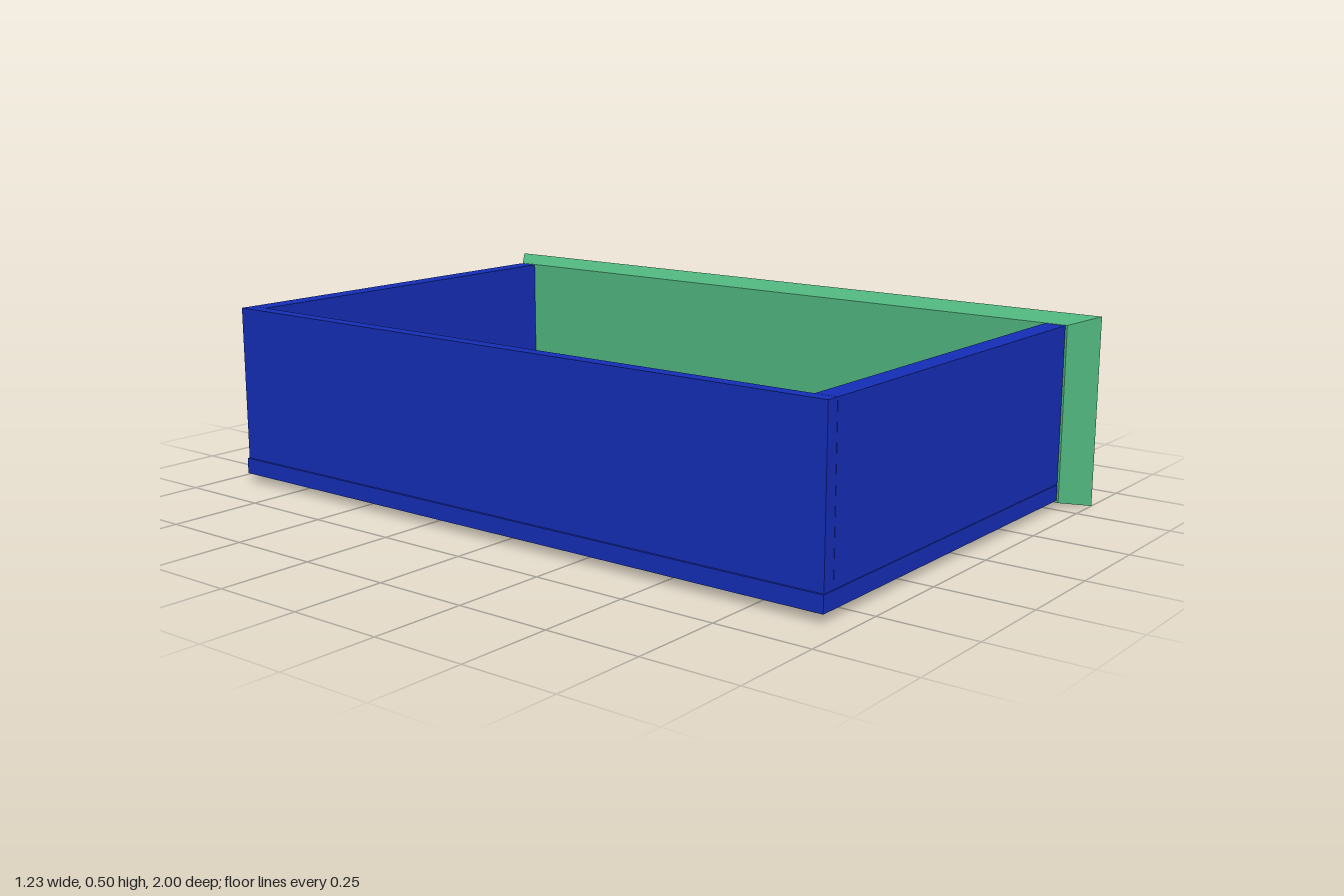
import * as THREE from 'three';

const material = (name, color) => new THREE.MeshStandardMaterial({ name, color });

// Box given by its limits on each axis
function block(name, mat, [x0, x1], [y0, y1], [z0, z1]) {
  const mesh = new THREE.Mesh(new THREE.BoxGeometry(x1 - x0, y1 - y0, z1 - z0), mat);
  mesh.position.set((x0 + x1) / 2, (y0 + y1) / 2, (z0 + z1) / 2);
  mesh.name = name;
  return mesh;
}

export function createModel() {
  const blue = material('drawer blue', 0x142db6);
  const green = material('panel green', 0x50b57e);
  const yellow = material('handle yellow', 0xe8e80c);
  const drawer = new THREE.Group();
  drawer.name = 'drawer';

  // Tray: floor, back wall and two side walls with a hairline seam at the back
  drawer.add(block('floor', blue, [-0.616, 0.506], [0.023, 0.066], [-0.94, 0.94]));
  drawer.add(block('backWall', blue, [-0.61, -0.5735], [0.066, 0.485], [-0.939, 0.937]));
  drawer.add(block('leftWall', blue, [-0.5725, 0.512], [0.066, 0.485], [0.88, 0.937]));
  drawer.add(block('rightWall', blue, [-0.5725, 0.512], [0.066, 0.485], [-0.939, -0.884]));

  // Front panel: a box whose inner face is smaller, so the rim is bevelled
  const panel = block('frontPanel', green, [0.517, 0.591], [0, 0.504], [-1, 1]);
  const p = panel.geometry.attributes.position;
  for (let i = 0; i < p.count; i++) {
    if (p.getX(i) < 0) {
      p.setY(i, p.getY(i) > 0 ? 0.233 : -0.238);
      p.setZ(i, Math.sign(p.getZ(i)) * 0.94);
    }
  }
  panel.geometry.computeVertexNormals();
  drawer.add(panel);

  // Handles
  for (const [name, z] of [['leftHandle', 0.655], ['rightHandle', -0.652]]) {
    drawer.add(block(name, yellow, [0.59, 0.616], [0.221, 0.285], [z - 0.079, z + 0.079]));
  }
  return drawer;
}
